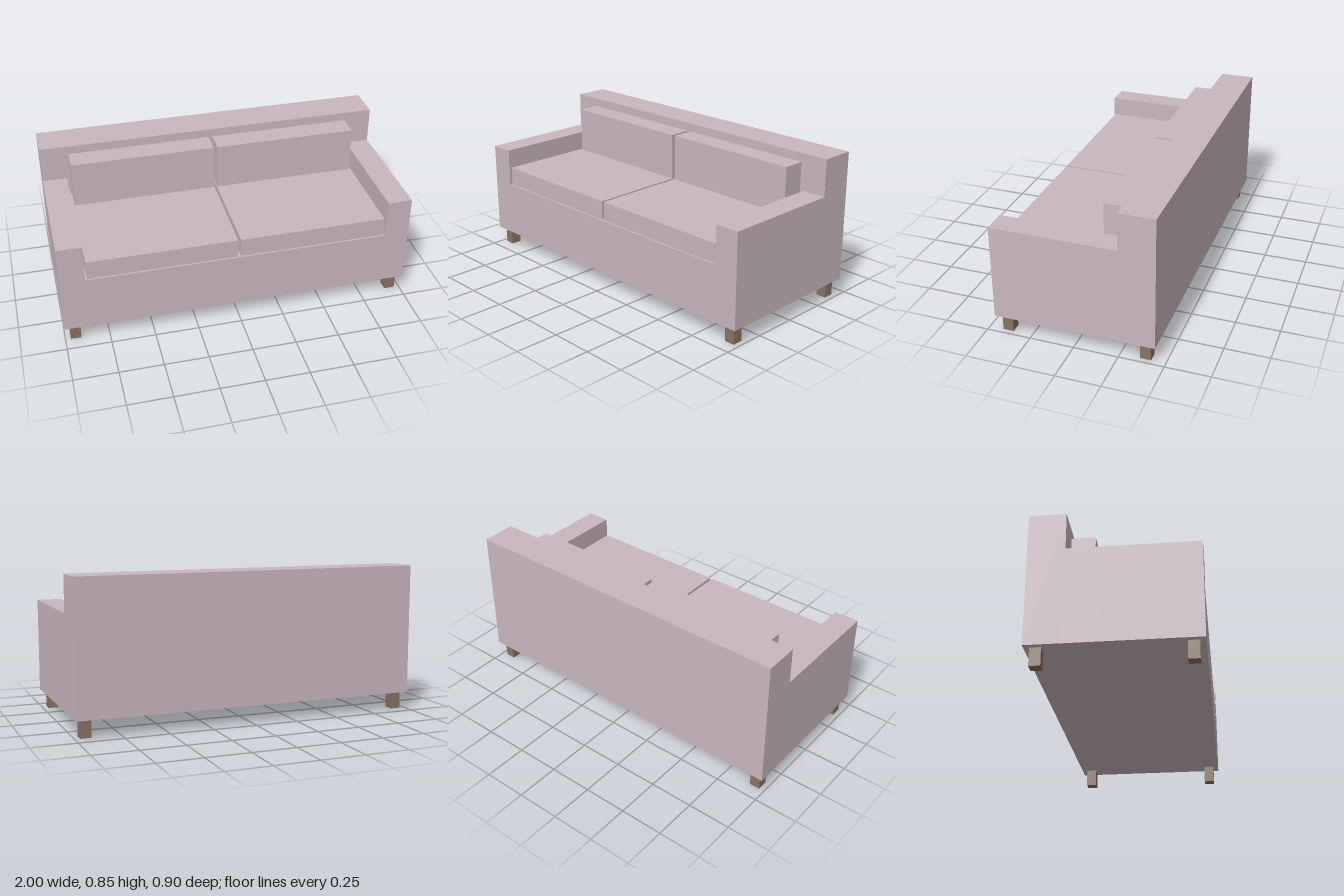
import * as THREE from 'three';

export function createModel() {
  const sofa = new THREE.Group();
  sofa.name = 'sofa';

  const fabric = new THREE.MeshStandardMaterial({ color: 0xc9b7bf });
  fabric.name = 'dusty pink fabric';
  const wood = new THREE.MeshStandardMaterial({ color: 0x877363 });
  wood.name = 'brown wood';

  // Box given by its minimum and maximum corners
  function box(name, material, [x0, y0, z0], [x1, y1, z1]) {
    const mesh = new THREE.Mesh(new THREE.BoxGeometry(x1 - x0, y1 - y0, z1 - z0), material);
    mesh.position.set((x0 + x1) / 2, (y0 + y1) / 2, (z0 + z1) / 2);
    mesh.name = name;
    sofa.add(mesh);
  }

  // Base and both arms: one U-shaped section run from the backrest to the front
  const section = new THREE.Shape([
    [-1, 0.1], [1, 0.1], [1, 0.64], [0.86, 0.64],
    [0.86, 0.42], [-0.86, 0.42], [-0.86, 0.64], [-1, 0.64],
  ].map(([x, y]) => new THREE.Vector2(x, y)));
  const frame = new THREE.Mesh(
    new THREE.ExtrudeGeometry(section, { depth: 0.7, bevelEnabled: false }), fabric);
  frame.position.z = -0.25;
  frame.name = 'baseAndArms';
  sofa.add(frame);

  // Backrest
  box('backrest', fabric, [-1, 0.1, -0.45], [1, 0.85, -0.25]);

  // Cushions and legs, mirrored left and right
  for (const [side, s] of [['left', 1], ['right', -1]]) {
    const span = (a, b) => (s > 0 ? [a, b] : [-b, -a]);

    const [sx0, sx1] = span(0.008, 0.85);
    box(side + 'SeatCushion', fabric, [sx0, 0.42, -0.25], [sx1, 0.53, 0.44]);

    const [bx0, bx1] = span(0.012, 0.838);
    box(side + 'BackCushion', fabric, [bx0, 0.53, -0.25], [bx1, 0.8, -0.12]);

    const [lx0, lx1] = span(0.91, 0.97);
    box(side + 'FrontLeg', wood, [lx0, 0, 0.36], [lx1, 0.1, 0.42]);
    box(side + 'BackLeg', wood, [lx0, 0, -0.42], [lx1, 0.1, -0.36]);
  }

  return sofa;
}
